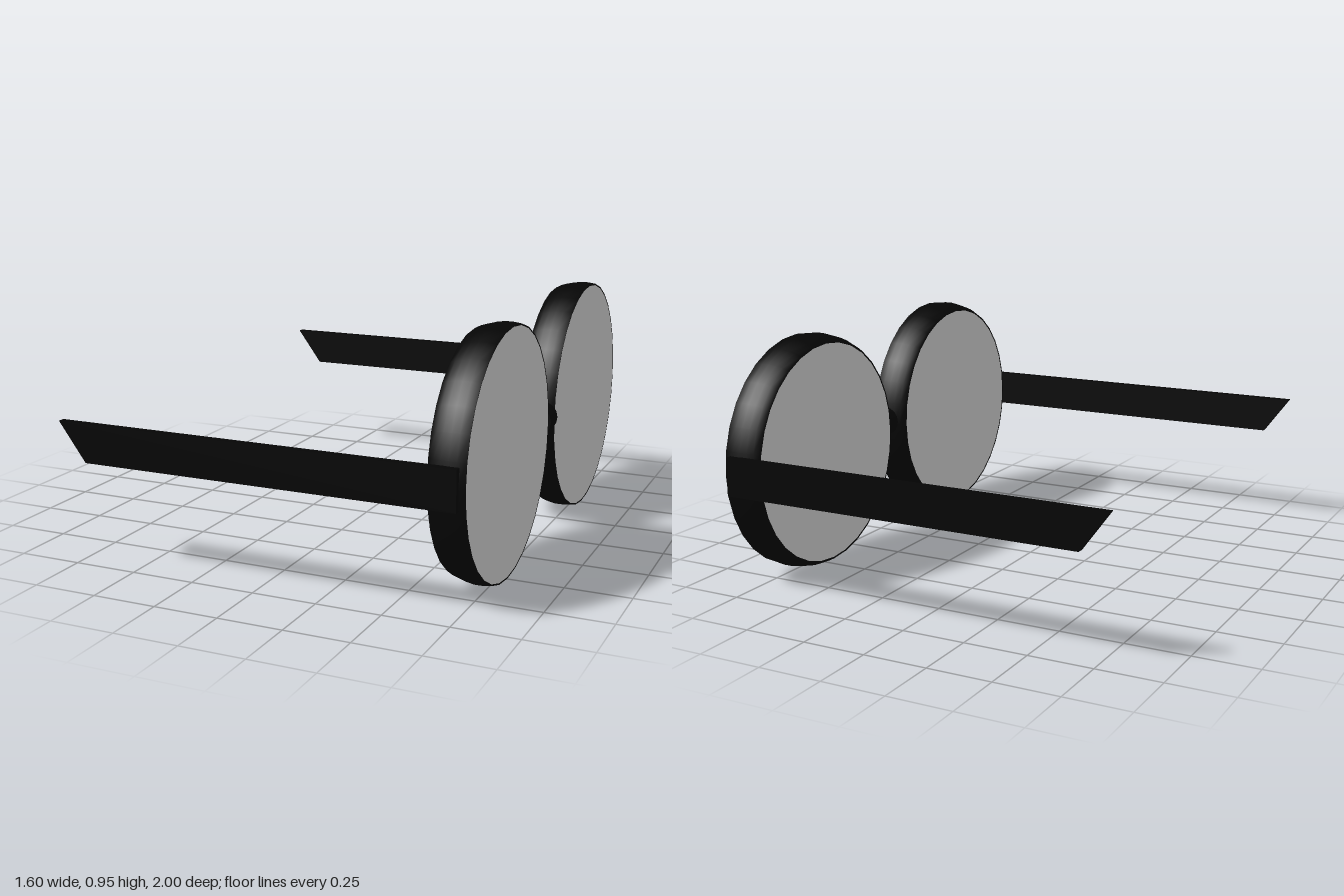
import * as THREE from 'three';

const black = new THREE.MeshStandardMaterial({ color: 0x050505 });
const grey = new THREE.MeshStandardMaterial({ color: 0xcccccc });

const SIDES = 32;
const LENS_Y = 0.475, LENS_Z = 0.508;
const BACK_X = 0.645, FRONT_X = 0.788;

function addMesh(parent, name, geometry, material) {
  const mesh = new THREE.Mesh(geometry, material);
  mesh.name = name;
  parent.add(mesh);
  return mesh;
}

export function createModel() {
  const model = new THREE.Group();
  model.name = 'roundGlasses';

  // Rim band: rounded towards the back, with thin lips around the lens
  const profile = [
    [0.442, BACK_X], [0.449, BACK_X], [0.461, 0.668], [0.469, 0.695],
    [0.474, 0.725], [0.474, 0.755], [0.47, FRONT_X], [0.464, FRONT_X],
  ].map(([r, x]) => new THREE.Vector2(r, x));
  const rimGeometry = new THREE.LatheGeometry(profile, SIDES).rotateZ(-Math.PI / 2);

  // Lens: a solid disc flush with both rim lips
  const lensGeometry = new THREE.CylinderGeometry(0.464, 0.442, FRONT_X - BACK_X, SIDES)
    .rotateZ(-Math.PI / 2)
    .translate((FRONT_X + BACK_X) / 2, 0, 0);

  // Temple arm: flat bar with a slanted rear end
  const armShape = new THREE.Shape([
    new THREE.Vector2(-0.8, 0.55), new THREE.Vector2(-0.69, 0.4),
    new THREE.Vector2(0.765, 0.4), new THREE.Vector2(0.765, 0.55),
  ]);
  const armGeometry = new THREE.ExtrudeGeometry(armShape, { depth: 0.028, bevelEnabled: false })
    .translate(0, 0, -0.014);

  for (const [side, s] of [['left', -1], ['right', 1]]) {
    const eye = new THREE.Group();
    eye.name = side + 'Eyepiece';
    eye.position.set(0, LENS_Y, s * LENS_Z);
    addMesh(eye, side + 'Rim', rimGeometry, black);
    addMesh(eye, side + 'Lens', lensGeometry, grey);
    model.add(eye);

    addMesh(model, side + 'Arm', armGeometry, black).position.z = s * 0.986;
  }

  // Bridge: short round bar between the rims
  const bridge = addMesh(model, 'bridge',
    new THREE.CylinderGeometry(0.062, 0.062, 0.09, 16).rotateX(Math.PI / 2), black);
  bridge.position.set(0.738, 0.485, 0);

  return model;
}
